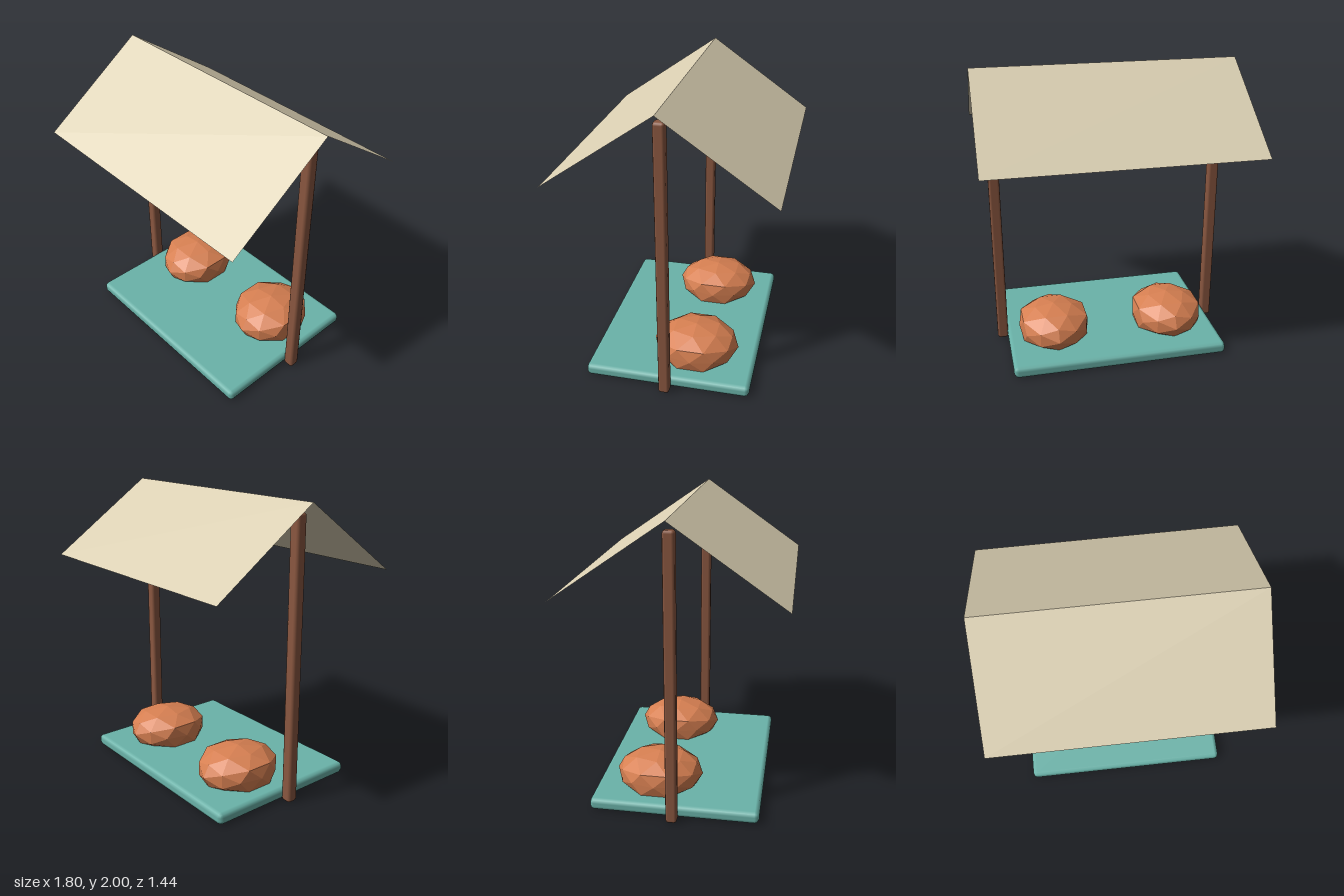
import * as THREE from 'three';
import { RoundedBoxGeometry } from 'three/addons/geometries/RoundedBoxGeometry.js';

const mat = (name, color, extra = {}) => new THREE.MeshStandardMaterial({ name, color, ...extra });

// Squashed faceted lump, slightly fuller at the shoulders
function cushionGeometry(rx, ry, rz) {
  const geo = new THREE.IcosahedronGeometry(1, 1);
  const p = geo.attributes.position;
  for (let i = 0; i < p.count; i++) {
    const x = p.getX(i);
    const bulge = Math.abs(Math.abs(x) - 0.809) < 0.02 ? 1.12 : 1;
    p.setXYZ(i, x * bulge * rx, p.getY(i) * ry, p.getZ(i) * rz);
  }
  geo.computeVertexNormals();
  return geo;
}

export function createModel() {
  const model = new THREE.Group();
  model.name = 'canopyStand';

  const teal = mat('teal', 0x6ab3a9);
  const wood = mat('brownWood', 0x8a5740);
  const orange = mat('burntOrange', 0xd67f51);
  const canvas = mat('creamCanvas', 0xdacfb2, { side: THREE.DoubleSide });

  const add = (name, geo, material, x, y, z) => {
    const mesh = new THREE.Mesh(geo, material);
    mesh.name = name;
    mesh.position.set(x, y, z);
    model.add(mesh);
    return mesh;
  };

  // Base slab with softened edges
  add('base', new RoundedBoxGeometry(1.5, 0.082, 1.14, 1, 0.03), teal, 0, 0.041, 0);

  // Posts and cushions, mirrored left and right
  const postGeo = new RoundedBoxGeometry(0.075, 1.93, 0.075, 1, 0.018);
  const lumpGeo = cushionGeometry(0.25, 0.155, 0.3);
  for (const [side, s] of [['left', 1], ['right', -1]]) {
    add(side + 'Post', postGeo, wood, s * 0.783, 0.965, 0);
    add(side + 'Cushion', lumpGeo, orange, s * 0.42, 0.16, -0.145);
  }

  // Thin gable roof: two sloping sheets meeting at the ridge
  const rise = 0.5, run = 0.72;
  const sheet = new THREE.PlaneGeometry(1.8, Math.hypot(rise, run));
  for (const [name, turn] of [['frontRoof', 0], ['backRoof', Math.PI]]) {
    const roof = add(name, sheet, canvas, 0, 2 - rise / 2, (turn ? -1 : 1) * run / 2);
    roof.rotation.order = 'YXZ';
    roof.rotation.set(-Math.atan2(run, rise), turn, 0);
  }
  return model;
}
